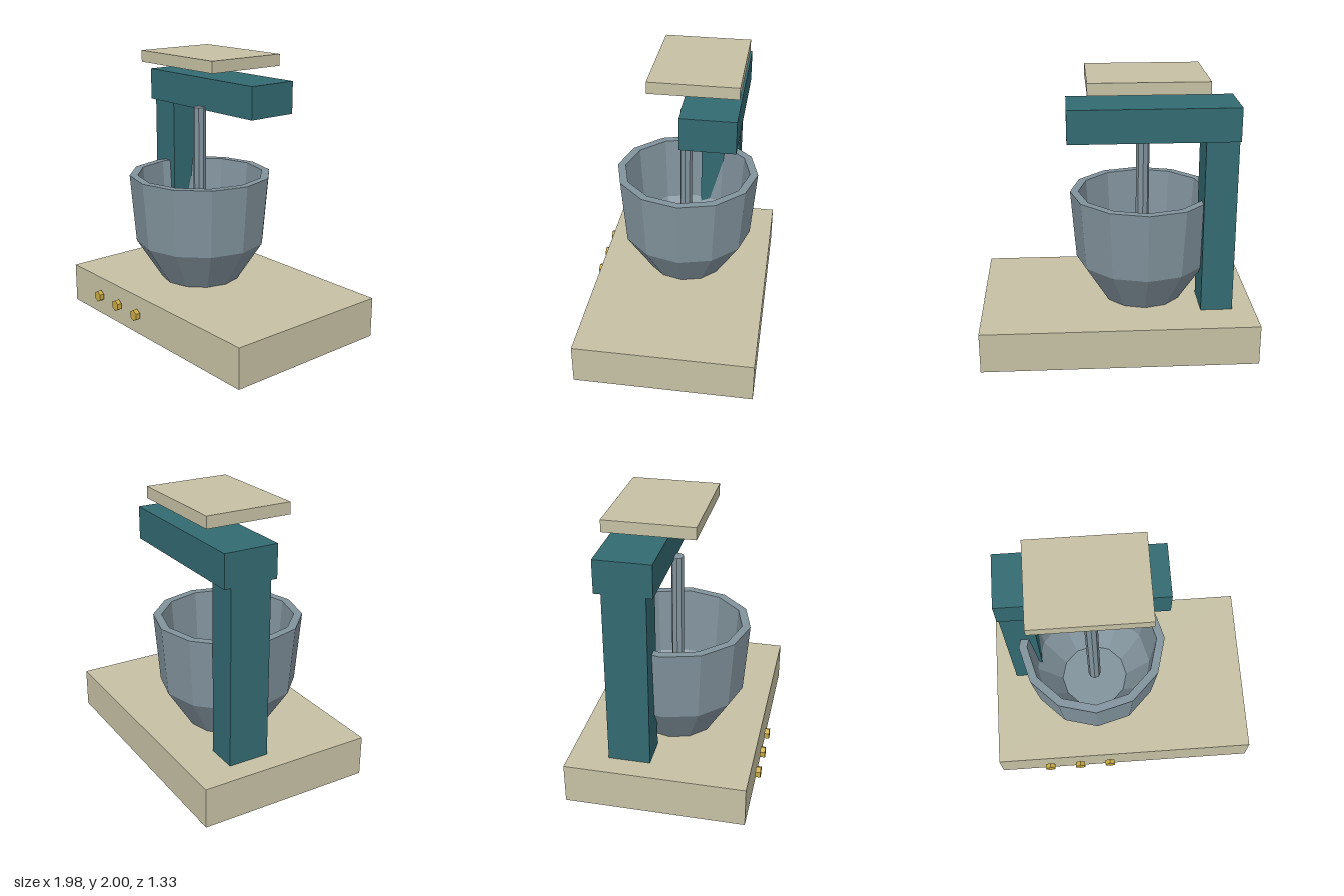
import * as THREE from 'three';

const flat = (name, color) => {
  const m = new THREE.MeshStandardMaterial({ color, flatShading: true });
  m.name = name;
  return m;
};

export function createModel() {
  const group = new THREE.Group();
  const cream = flat('cream', 0xc6c1a4);
  const teal = flat('teal', 0x336a72);
  const steel = flat('steel', 0x82939d);
  const brass = flat('brass', 0xc8a944);

  const add = (name, geometry, material, x = 0, y = 0, z = 0) => {
    const mesh = new THREE.Mesh(geometry, material);
    mesh.name = name;
    mesh.position.set(x, y, z);
    group.add(mesh);
    return mesh;
  };
  // Box given by its limits on each axis
  const box = (name, material, [x0, x1], [y0, y1], [z0, z1]) =>
    add(name, new THREE.BoxGeometry(x1 - x0, y1 - y0, z1 - z0), material,
      (x0 + x1) / 2, (y0 + y1) / 2, (z0 + z1) / 2);

  // Stand and head
  box('base', cream, [-0.99, 0.985], [0, 0.295], [-0.667, 0.615]);
  box('column', teal, [-0.83, -0.6], [0.29, 1.585], [-0.387, -0.09]);
  box('arm', teal, [-0.83, 0.352], [1.583, 1.82], [-0.437, -0.045]);
  box('topPlate', cream, [-0.612, 0.212], [1.915, 2], [-0.437, 0.195]);

  // Twelve-sided bowl with a thick wall: outside, rim, then inside
  const profile = [
    [0, 0.29], [0.295, 0.29], [0.49, 0.595], [0.532, 1.105],
    [0.472, 1.105], [0.435, 0.61], [0.255, 0.34], [0, 0.34],
  ].map(([r, y]) => new THREE.Vector2(r, y));
  add('bowl', new THREE.LatheGeometry(profile, 12), steel, -0.2, 0, -0.03);

  // Mixing shaft
  add('shaft', new THREE.CylinderGeometry(0.048, 0.048, 1.155, 8), steel, -0.198, 1.0275, -0.022);

  // Hexagonal knobs in front of the base
  for (const x of [-0.597, -0.359, -0.122]) {
    const knob = new THREE.CylinderGeometry(0.042, 0.042, 0.035, 6).rotateX(Math.PI / 2);
    add('knob', knob, brass, x, 0.16, 0.649);
  }
  return group;
}
